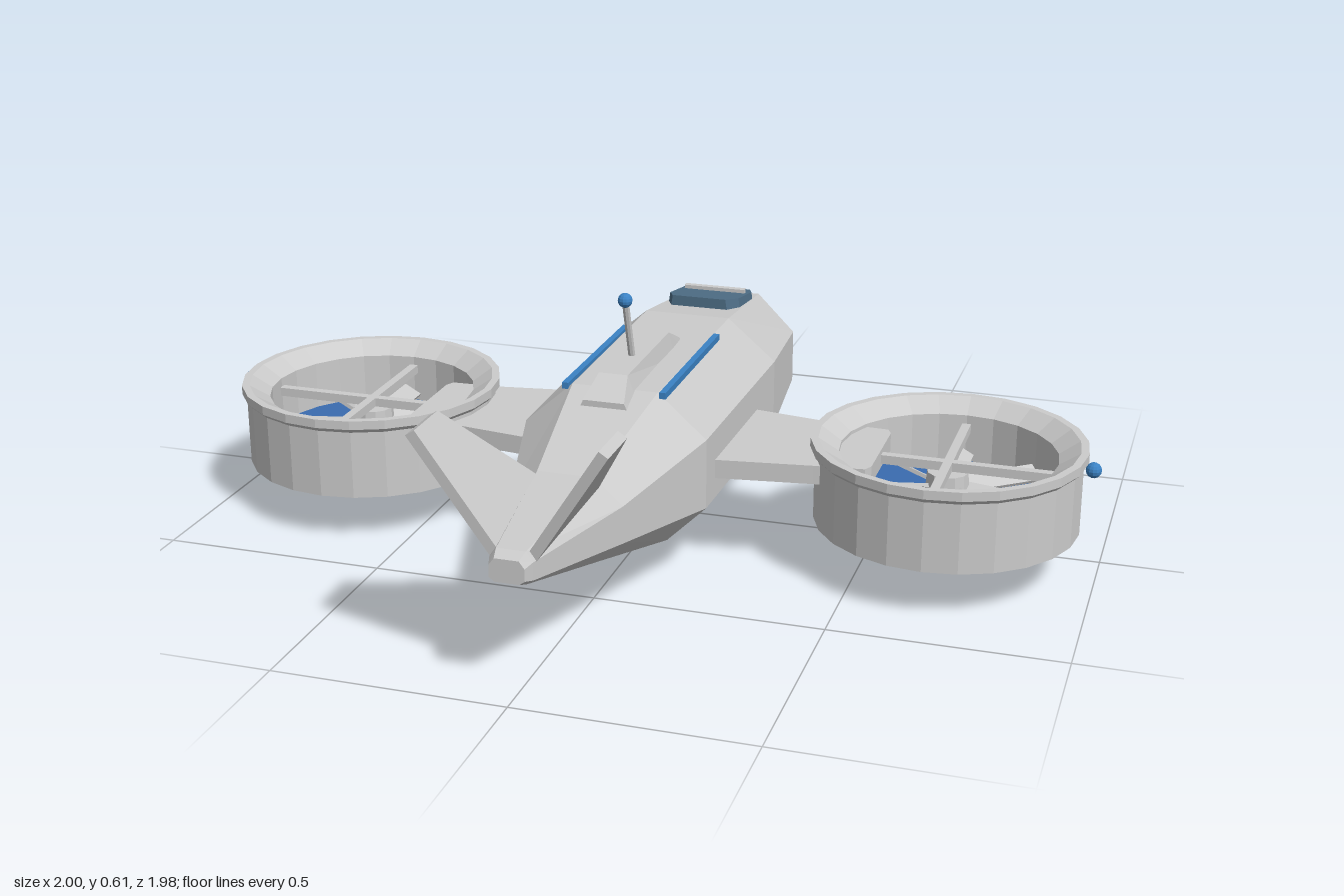
import * as THREE from 'three';

const mat = (color) => new THREE.MeshStandardMaterial({ color, flatShading: true });
const grey = mat(0xcccccc);
const blue = mat(0x3b82c4);
const discBlue = mat(0x3a6cb0);
const glass = mat(0x4f6f88);

function add(parent, name, geometry, material = grey, x = 0, y = 0, z = 0) {
  const mesh = new THREE.Mesh(geometry, material);
  mesh.name = name;
  mesh.position.set(x, y, z);
  parent.add(mesh);
  return mesh;
}

// Skin between cross-sections { z, loop: [[x, y], ...] }, loops counter-clockwise seen from +z
function loft(sections) {
  const pos = [], idx = [], n = sections[0].loop.length;
  for (const s of sections) for (const [x, y] of s.loop) pos.push(x, y, s.z);
  for (let i = 0; i < sections.length - 1; i++) {
    for (let j = 0; j < n; j++) {
      const a = i * n + j, b = i * n + (j + 1) % n;
      idx.push(a, b, b + n, a, b + n, a + n);
    }
  }
  const last = (sections.length - 1) * n;
  for (let j = 1; j < n - 1; j++) {
    idx.push(0, j + 1, j);
    idx.push(last, last + j, last + j + 1);
  }
  const g = new THREE.BufferGeometry();
  g.setAttribute('position', new THREE.Float32BufferAttribute(pos, 3));
  g.setIndex(idx);
  const flat = g.toNonIndexed();
  flat.computeVertexNormals();
  return flat;
}

// Octagonal section: side, top and bottom half widths, then heights from the bottom up
const octagon = ([z, w, wt, wb, yb, yl, ys, yt]) => ({
  z, loop: [[w, yl], [w, ys], [wt, yt], [-wt, yt], [-w, ys], [-w, yl], [-wb, yb], [wb, yb]],
});

// Trapezoid section: bottom and top half widths, bottom and top heights
const trapezoid = ([z, wb, wt, yb, yt]) => ({ z, loop: [[wb, yb], [wt, yt], [-wt, yt], [-wb, yb]] });

// Rod between two points
function rod(parent, name, from, to, radius) {
  const a = new THREE.Vector3(...from), b = new THREE.Vector3(...to);
  const mesh = add(parent, name, new THREE.CylinderGeometry(radius, radius, a.distanceTo(b), 8));
  mesh.position.copy(a).lerp(b, 0.5);
  mesh.quaternion.setFromUnitVectors(new THREE.Vector3(0, 1, 0), b.sub(a).normalize());
  return mesh;
}

// Flat plate in plan (x, z) with its underside at height y
function plate(points, y, thickness) {
  const shape = new THREE.Shape(points.map(([x, z]) => new THREE.Vector2(x, -z)));
  return new THREE.ExtrudeGeometry(shape, { depth: thickness, bevelEnabled: false })
    .rotateX(-Math.PI / 2).translate(0, y, 0);
}

function createFan(side) {
  const fan = new THREE.Group();
  fan.name = side > 0 ? 'leftFan' : 'rightFan';
  fan.position.set(side * 0.675, 0, 0.115);

  // Duct with outer lip and flared mouth
  const profile = [[0.26, 0.11], [0.287, 0.11], [0.287, 0.265], [0.297, 0.275], [0.297, 0.295],
    [0.28, 0.295], [0.235, 0.265], [0.235, 0.14], [0.26, 0.11]];
  add(fan, 'duct', new THREE.LatheGeometry(profile.map((p) => new THREE.Vector2(...p)), 24), grey);

  add(fan, 'fanDisc', new THREE.CylinderGeometry(0.238, 0.238, 0.012, 24), discBlue, 0, 0.15, 0);
  add(fan, 'hub', new THREE.CylinderGeometry(0.045, 0.05, 0.085, 12), grey, 0, 0.18, 0);

  // Pitched blades
  for (let i = 0; i < 7; i++) {
    const blade = new THREE.BoxGeometry(0.19, 0.008, 0.045)
      .rotateX(0.5).translate(0.125, 0.185, 0).rotateY(Math.PI / 2 + (i * 2 * Math.PI) / 7);
    add(fan, 'blade', blade);
  }

  // Crossed guard bars
  add(fan, 'guardBar', new THREE.BoxGeometry(0.48, 0.02, 0.02), grey, 0, 0.235, 0);
  add(fan, 'guardBar', new THREE.BoxGeometry(0.02, 0.02, 0.48), grey, 0, 0.235, 0);

  add(fan, 'tipLight', new THREE.SphereGeometry(0.017, 12, 8), blue, side * 0.308, 0.262, 0.003);
  return fan;
}

function createTailFin(side) {
  // Outline along z and up the fin, leaning outwards
  const outline = [[0.64, 0], [0.95, -0.02], [0.975, 0.265], [0.865, 0.265]];
  const shape = new THREE.Shape(outline.map((p) => new THREE.Vector2(...p)));
  const g = new THREE.ExtrudeGeometry(shape, { depth: 0.022, bevelEnabled: false }).translate(0, 0, -0.011);
  const along = new THREE.Vector3(0, 0, 1);
  const up = new THREE.Vector3(side * 0.545, 0.838, 0);
  const normal = new THREE.Vector3().crossVectors(along, up);
  g.applyMatrix4(new THREE.Matrix4().makeBasis(along, up, normal));
  return g.translate(side * 0.045, 0.305, 0);
}

function createGun() {
  const gun = new THREE.Group();
  gun.name = 'gun';
  gun.position.y = 0.077;
  add(gun, 'turretBall', new THREE.SphereGeometry(0.077, 20, 14), grey, 0, 0, -0.46);
  // Round section along z from rear to front
  const tube = (name, rBack, rFront, zBack, zFront, material) => add(gun, name,
    new THREE.CylinderGeometry(rFront, rBack, zBack - zFront, 12).rotateX(-Math.PI / 2),
    material, 0, 0, (zBack + zFront) / 2);
  tube('barrel', 0.032, 0.032, -0.48, -0.74, grey);
  tube('barrelTip', 0.027, 0.027, -0.74, -0.92, grey);
  tube('collar', 0.048, 0.048, -0.632, -0.664, blue);
  tube('collar', 0.048, 0.048, -0.74, -0.77, blue);
  tube('muzzle', 0.044, 0.034, -0.895, -0.96, grey);
  add(gun, 'muzzleLight', new THREE.SphereGeometry(0.028, 14, 10), blue, 0, 0, -0.963);
  return gun;
}

export function createModel() {
  const model = new THREE.Group();
  model.name = 'aircraft';

  // Faceted hull, nose towards -z
  add(model, 'hull', loft([
    [-0.75, 0.042, 0.025, 0.025, 0.155, 0.18, 0.235, 0.262],
    [-0.73, 0.055, 0.032, 0.034, 0.148, 0.175, 0.245, 0.272],
    [-0.51, 0.175, 0.085, 0.09, 0.085, 0.165, 0.29, 0.38],
    [-0.18, 0.212, 0.1, 0.12, 0.07, 0.165, 0.325, 0.42],
    [0.35, 0.202, 0.095, 0.115, 0.085, 0.17, 0.325, 0.42],
    [0.66, 0.12, 0.06, 0.07, 0.165, 0.21, 0.29, 0.345],
    [0.96, 0.044, 0.03, 0.03, 0.243, 0.253, 0.29, 0.31],
    [0.985, 0.036, 0.025, 0.025, 0.252, 0.26, 0.285, 0.3],
  ].map(octagon)));

  // Cockpit window and its crossbar
  add(model, 'cockpitWindow', loft([
    [-0.5, 0.07, 0.065, 0.36, 0.392],
    [-0.44, 0.09, 0.085, 0.37, 0.405],
    [-0.32, 0.09, 0.085, 0.39, 0.425],
    [-0.275, 0.07, 0.065, 0.4, 0.433],
  ].map(trapezoid)), glass);
  add(model, 'windowBar', new THREE.BoxGeometry(0.15, 0.014, 0.016), grey, 0, 0.412, -0.415);

  // Dorsal housing with antenna
  add(model, 'dorsalHousing', loft([
    [0.0, 0.042, 0.036, 0.4, 0.424],
    [0.07, 0.045, 0.032, 0.4, 0.458],
    [0.36, 0.052, 0.032, 0.4, 0.455],
    [0.425, 0.056, 0.045, 0.39, 0.415],
  ].map(trapezoid)));
  rod(model, 'antenna', [0, 0.445, 0.232], [0, 0.59, 0.277], 0.008);
  add(model, 'antennaLight', new THREE.SphereGeometry(0.016, 12, 8), blue, 0, 0.592, 0.278);

  for (const side of [1, -1]) {
    const label = side > 0 ? 'left' : 'right';
    // Wing runs through the duct wall
    const plan = [[0.15, -0.045], [0.41, -0.005], [0.52, 0.0], [0.53, 0.02],
      [0.53, 0.225], [0.52, 0.245], [0.41, 0.258], [0.15, 0.295]];
    add(model, `${label}Wing`, plate(plan.map(([x, z]) => [side * x, z]), 0.215, 0.042));
    add(model, `${label}Fin`, createTailFin(side));
    add(model, `${label}Strip`, new THREE.BoxGeometry(0.014, 0.014, 0.41), blue, side * 0.108, 0.417, 0.155);
    model.add(createFan(side));
  }

  model.add(createGun());
  return model;
}
